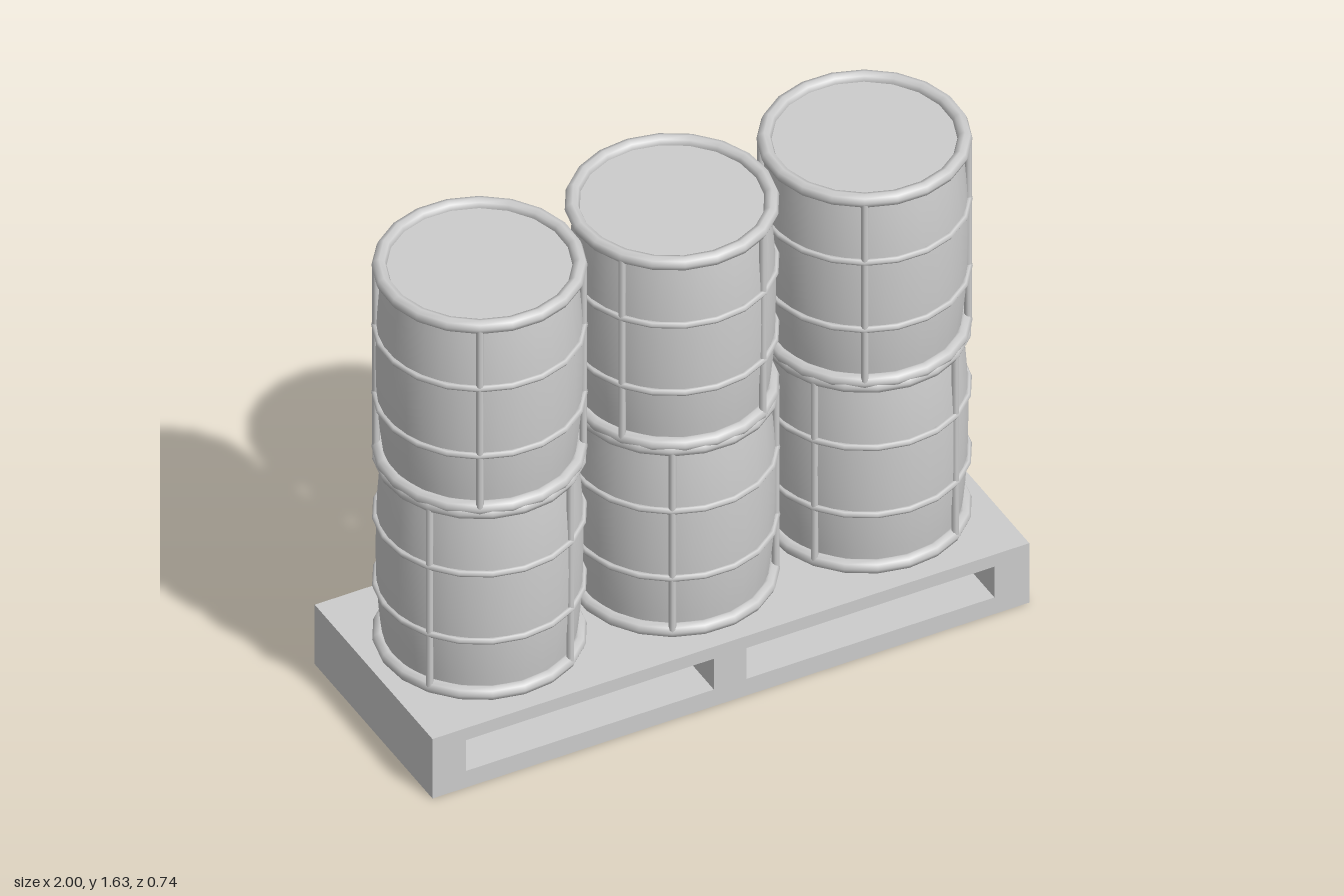
import * as THREE from 'three';

export function createModel() {
  const model = new THREE.Group();
  model.name = 'drumPallet';
  const grey = new THREE.MeshStandardMaterial({ color: 0xcccccc });
  grey.name = 'plain grey';

  const add = (parent, name, geometry) => {
    const mesh = new THREE.Mesh(geometry, grey);
    mesh.name = name;
    parent.add(mesh);
    return mesh;
  };

  // Pallet: solid block with two fork slots running front to back
  const rect = (path, x0, y0, x1, y1) => {
    path.moveTo(x0, y0);
    path.lineTo(x1, y0);
    path.lineTo(x1, y1);
    path.lineTo(x0, y1);
    path.closePath();
    return path;
  };
  const face = rect(new THREE.Shape(), -1, 0, 1, 0.222);
  face.holes.push(rect(new THREE.Path(), -0.887, 0.062, -0.057, 0.177));
  face.holes.push(rect(new THREE.Path(), 0.053, 0.062, 0.883, 0.177));
  const depth = 0.736;
  const palletGeo = new THREE.ExtrudeGeometry(face, { depth, bevelEnabled: false });
  palletGeo.translate(0, 0, -depth / 2);
  add(model, 'pallet', palletGeo);

  // Shared drum geometries, measured from the drum's bottom rim
  const height = 0.675;
  const profile = [];
  for (let i = 0; i <= 12; i++) {
    const t = i / 12;
    const bulge = 1 - Math.pow(Math.abs(2 * t - 1), 2.2);
    profile.push(new THREE.Vector2(0.287 + 0.021 * bulge, t * height));
  }
  const bodyGeo = new THREE.LatheGeometry(profile, 32);
  const lidGeo = new THREE.CircleGeometry(0.287, 32).rotateX(-Math.PI / 2);
  const rimGeo = new THREE.TorusGeometry(0.297, 0.0225, 8, 20).rotateX(Math.PI / 2);
  const hoopGeo = new THREE.TorusGeometry(0.309, 0.011, 6, 20).rotateX(Math.PI / 2);
  const barGeo = new THREE.CylinderGeometry(0.0115, 0.0115, height, 8);

  function drum(x, y, turn) {
    const g = new THREE.Group();
    g.name = 'drum';
    add(g, 'body', bodyGeo);
    add(g, 'lid', lidGeo).position.y = height;
    add(g, 'base', lidGeo).rotation.x = Math.PI;
    for (const h of [0, height]) add(g, 'rim', rimGeo).position.y = h;
    for (const h of [0.201, 0.452]) add(g, 'hoop', hoopGeo).position.y = h;
    // Four upright bars around the side
    for (let i = 0; i < 4; i++) {
      const a = i * Math.PI / 2;
      add(g, 'uprightBar', barGeo)
        .position.set(Math.sin(a) * 0.306, height / 2, Math.cos(a) * 0.306);
    }
    g.position.set(x, y, 0);
    g.rotation.y = THREE.MathUtils.degToRad(turn);
    model.add(g);
  }

  // Two layers of three drums, alternately turned
  for (let layer = 0; layer < 2; layer++) {
    for (let i = -1; i <= 1; i++) {
      drum(i * 0.645, 0.244 + layer * 0.693, (layer + i + 1) % 2 === 0 ? 33 : -28);
    }
  }
  return model;
}
